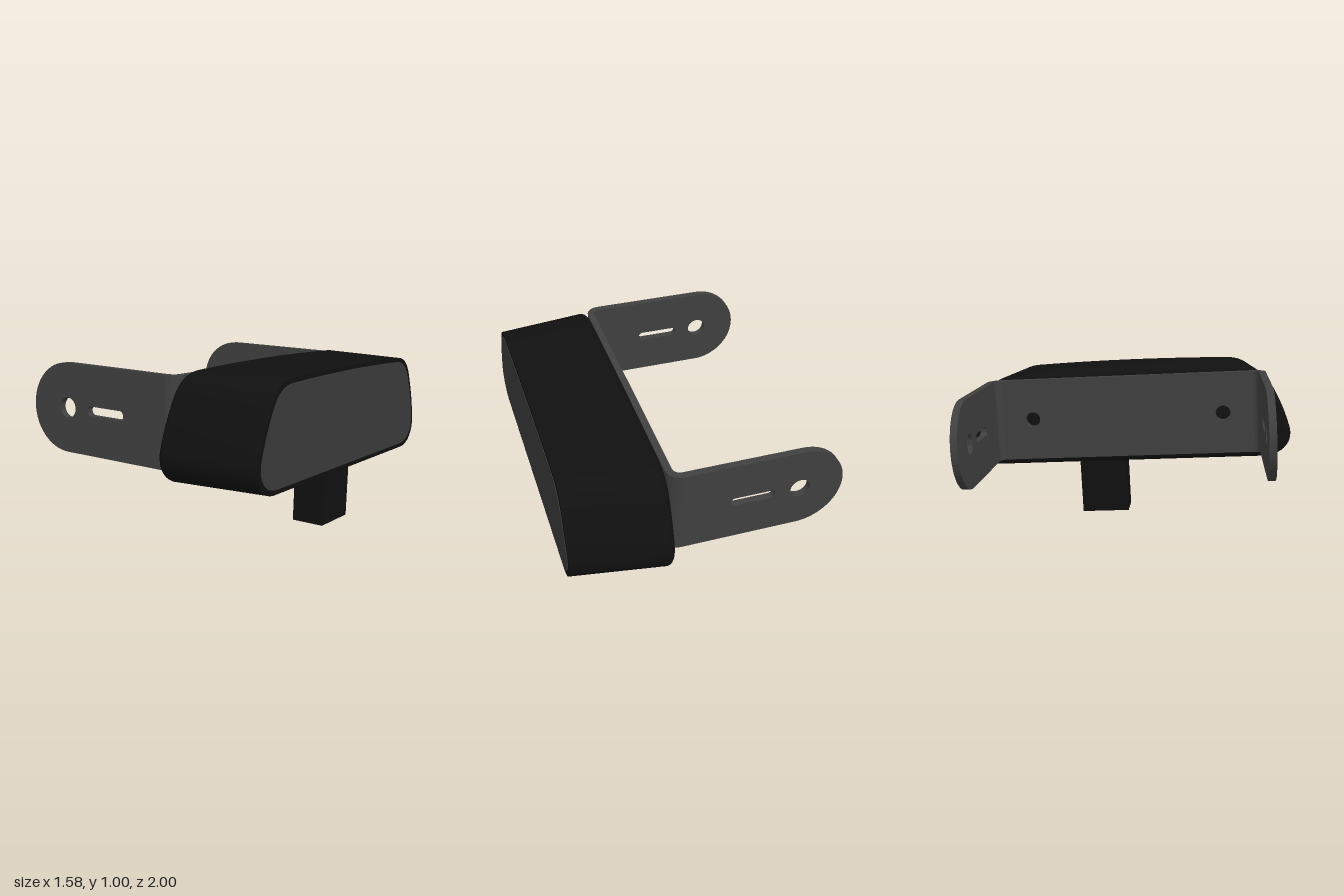
import * as THREE from 'three';
import { toCreasedNormals } from 'three/addons/utils/BufferGeometryUtils.js';

const mat = (color) => new THREE.MeshStandardMaterial({ color });

// Rounded trapezoid outline, drawn counter-clockwise as seen from +x (u = -z, v = y)
function housingOutline() {
  const s = new THREE.Shape();
  s.moveTo(-0.83, -0.293);
  s.lineTo(0.83, -0.293);
  s.bezierCurveTo(0.93, -0.293, 1.02, -0.23, 0.998, -0.12);
  s.quadraticCurveTo(0.96, 0.03, 0.885, 0.165);
  s.quadraticCurveTo(0.83, 0.265, 0.7, 0.273);
  s.quadraticCurveTo(0, 0.297, -0.7, 0.273);
  s.quadraticCurveTo(-0.83, 0.265, -0.885, 0.165);
  s.quadraticCurveTo(-0.96, 0.03, -0.998, -0.12);
  s.bezierCurveTo(-1.02, -0.23, -0.93, -0.293, -0.83, -0.293);
  return s.getPoints(12).slice(0, -1);
}

// Closed loft along x; each ring is [x, inset, width scale]
function loft(outline, rings) {
  const pos = [];
  const n = outline.length;
  const point = ([x, inset, w], i) => {
    const p = outline[i % n];
    return [x, p.y * (1 - inset / 0.285), -p.x * (w - inset)];
  };
  for (let r = 0; r < rings.length - 1; r++) {
    for (let i = 0; i < n; i++) {
      const a = point(rings[r], i), b = point(rings[r], i + 1);
      const c = point(rings[r + 1], i + 1), d = point(rings[r + 1], i);
      pos.push(...a, ...b, ...c, ...a, ...c, ...d);
    }
  }
  const first = rings[0], last = rings[rings.length - 1];
  for (let i = 0; i < n; i++) {
    pos.push(first[0], 0, 0, ...point(first, i + 1), ...point(first, i));
    pos.push(last[0], 0, 0, ...point(last, i), ...point(last, i + 1));
  }
  const g = new THREE.BufferGeometry();
  g.setAttribute('position', new THREE.Float32BufferAttribute(pos, 3));
  return toCreasedNormals(g, 0.6);
}

function circleHole(x, y, r) {
  return new THREE.Path().absarc(x, y, r, 0, Math.PI * 2, true);
}

function extrude(shape, depth) {
  const g = new THREE.ExtrudeGeometry(shape, { depth, bevelEnabled: false, curveSegments: 20 });
  return toCreasedNormals(g, 0.6);
}

export function createModel() {
  const model = new THREE.Group();
  const body = new THREE.Group();
  body.name = 'tiltedAssembly';
  body.position.y = 0.69;
  body.rotation.set(-0.052, 0.017, 0);
  model.add(body);

  const black = mat(0x101010), grey = mat(0x404040), panelGrey = mat(0x3a3a3a);
  const add = (name, geometry, material, parent = body) => {
    const m = new THREE.Mesh(geometry, material);
    m.name = name;
    parent.add(m);
    return m;
  };

  // Housing: rounded rear edge, narrowing toward the +x face
  const outline = housingOutline();
  const rings = [];
  for (let i = 0; i <= 5; i++) {
    const a = (i / 5) * Math.PI / 2;
    rings.push([0.221 + 0.04 * (1 - Math.cos(a)), 0.04 * (1 - Math.sin(a)), 1]);
  }
  rings.push([0.77, 0, 0.917]);
  add('housing', loft(outline, rings), black);
  add('facePanel', loft(outline, [[0.76, 0.024, 0.917], [0.773, 0.024, 0.917]]), panelGrey);

  // Stem below the housing
  const stem = add('stem', new THREE.BoxGeometry(0.195, 0.42, 0.3), black);
  stem.position.set(0.523, -0.46, -0.195);

  // U-shaped bracket
  const bracket = new THREE.Group();
  bracket.name = 'bracket';
  body.add(bracket);
  const H = 0.25, T = 0.04, W = 0.85, R = 0.08, back = 0.22;

  // Arm plate with round end, pivot hole and slot
  const arm = new THREE.Shape();
  arm.moveTo(back - R, -H);
  arm.lineTo(back - R, H);
  arm.lineTo(-0.525, H);
  arm.absarc(-0.525, 0, H, Math.PI / 2, Math.PI * 1.5, false);
  arm.lineTo(back - R, -H);
  const slot = new THREE.Path();
  slot.absarc(-0.152, 0, 0.026, Math.PI / 2, -Math.PI / 2, true);
  slot.absarc(-0.353, 0, 0.026, -Math.PI / 2, -Math.PI * 1.5, true);
  slot.closePath();
  arm.holes.push(circleHole(-0.525, 0, 0.057), slot);
  const armGeometry = extrude(arm, T);
  add('leftArm', armGeometry, grey, bracket).position.z = W - T;
  add('rightArm', armGeometry, grey, bracket).position.z = -W;

  // Cross wall with two mounting holes
  const L = W - R;
  const wall = new THREE.Shape();
  wall.moveTo(-L, -H);
  wall.lineTo(L, -H);
  wall.lineTo(L, H);
  wall.lineTo(-L, H);
  wall.closePath();
  wall.holes.push(circleHole(-0.59, 0, 0.045), circleHole(0.59, 0, 0.045));
  const wallMesh = add('crossWall', extrude(wall, T), grey, bracket);
  wallMesh.rotation.y = Math.PI / 2;
  wallMesh.position.x = back - T;

  // Rounded bends joining wall and arms
  const bend = new THREE.Shape();
  bend.absarc(0, 0, R, 0, Math.PI / 2, false);
  bend.absarc(0, 0, R - T, Math.PI / 2, 0, true);
  const bendGeometry = extrude(bend, 2 * H);
  for (const side of [1, -1]) {
    const m = add(side > 0 ? 'leftBend' : 'rightBend', bendGeometry, grey, bracket);
    m.rotation.x = side * Math.PI / 2;
    m.position.set(back - R, side * H, side * L);
  }
  return model;
}
